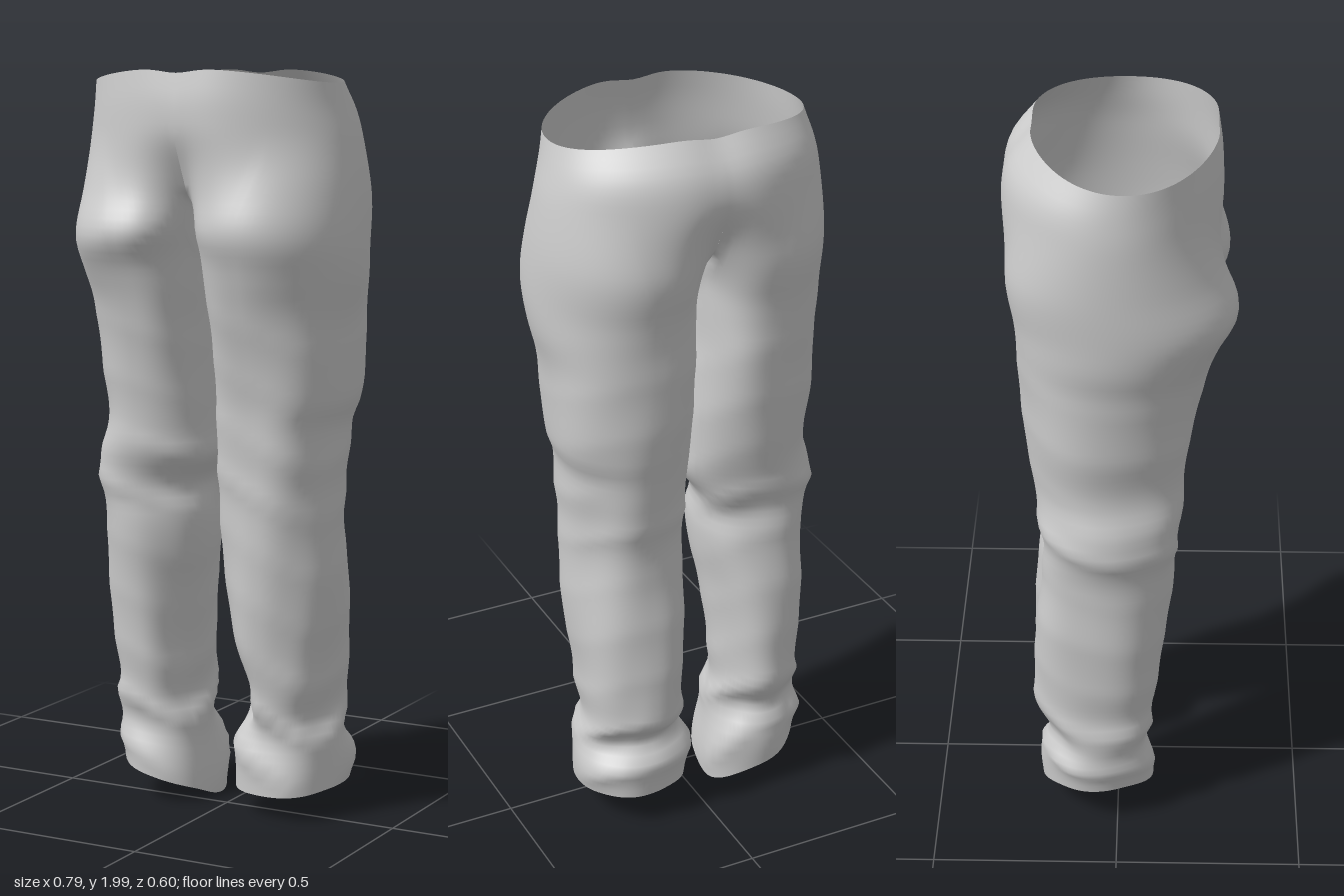
import * as THREE from 'three';
import { mergeVertices } from 'three/addons/utils/BufferGeometryUtils.js';

const WAIST = 1.995, CROTCH = 1.68, HEM = 0.08, CENTRE = -0.015;
const OUTER = 60, INNER = 20, AROUND = OUTER + INNER;
const TORSO_ROWS = 14, LEG_ROWS = 72;

// Per side, from hem to waist: y, inner x, outer x, back z, front z (x measured away from the middle)
const LEFT = [
  [0.08, 0.02, 0.32, -0.225, 0.10], [0.18, 0.005, 0.33, -0.23, 0.10], [0.25, 0.02, 0.30, -0.20, 0.095],
  [0.32, 0.03, 0.30, -0.24, 0.115], [0.45, 0.025, 0.305, -0.243, 0.125], [0.62, 0.01, 0.32, -0.23, 0.14],
  [0.82, 0.005, 0.32, -0.205, 0.155], [1.0, -0.002, 0.33, -0.222, 0.17], [1.08, -0.005, 0.335, -0.228, 0.175],
  [1.13, -0.007, 0.352, -0.24, 0.18], [1.38, -0.01, 0.37, -0.26, 0.23], [1.47, -0.009, 0.385, -0.26, 0.258],
  [1.55, -0.01, 0.39, -0.267, 0.285], [1.68, -0.015, 0.385, -0.302, 0.283], [1.82, -0.015, 0.365, -0.305, 0.272],
  [1.92, -0.015, 0.345, -0.285, 0.267], [2.0, -0.015, 0.328, -0.222, 0.255],
];
const RIGHT = [
  [0.08, 0.06, 0.335, -0.21, 0.10], [0.16, 0.06, 0.345, -0.22, 0.10], [0.25, 0.085, 0.35, -0.19, 0.09],
  [0.32, 0.09, 0.335, -0.22, 0.105], [0.45, 0.088, 0.342, -0.225, 0.12], [0.62, 0.075, 0.355, -0.22, 0.135],
  [0.8, 0.055, 0.362, -0.20, 0.15], [0.88, 0.065, 0.378, -0.20, 0.15], [0.97, 0.015, 0.385, -0.21, 0.17],
  [1.05, 0.011, 0.352, -0.222, 0.17], [1.2, 0.013, 0.363, -0.245, 0.19], [1.4, 0.024, 0.375, -0.26, 0.235],
  [1.47, 0.025, 0.39, -0.26, 0.262], [1.55, 0.024, 0.398, -0.267, 0.302], [1.68, 0.015, 0.397, -0.302, 0.283],
  [1.82, 0.015, 0.388, -0.305, 0.272], [1.92, 0.015, 0.375, -0.285, 0.267], [2.0, 0.015, 0.362, -0.222, 0.255],
];

const { smoothstep, lerp, degToRad } = THREE.MathUtils;
const spow = (v, p) => Math.sign(v) * Math.abs(v) ** p;
const bell = (v, mid, width) => Math.exp(-(((v - mid) / width) ** 2));
// Bump around a direction of the cross-section, in degrees (0 front, 90 outside)
const around = (a, deg, sharp) => Math.exp(sharp * (Math.cos(a - degToRad(deg)) - 1));

function sampler(rows) {
  const f = new THREE.CubicInterpolant(rows.map(r => r[0]), rows.flatMap(r => r.slice(1)), 4);
  return y => Array.from(f.evaluate(y));
}

// Cloth folds: slanted creases bunched at the ankle and knee, faint ones elsewhere
function folds(y, a, side) {
  const ph = side > 0 ? 0.4 : 2.1;
  const slant = y * 42 + 2.2 * Math.sin(a + ph) + Math.sin(2 * a - ph);
  const crease = 0.5 - Math.abs(Math.sin(slant * 0.5));
  const amount = 0.02 * bell(y, 0.24, 0.11) + (side > 0 ? 0.005 : 0.014) * bell(y, 0.92, 0.08) + 0.002;
  const drape = 0.004 * Math.sin(3 * a + 5 * y + ph) + 0.003 * Math.sin(5 * a - 7 * y);
  // Hollow at the inner front of the shin
  const hollow = side > 0
    ? 0.05 * around(a, -48, 5) * bell(y, 0.32, 0.1)
    : 0.025 * around(a, -48, 5) * bell(y, 0.45, 0.25);
  return (crease * amount + drape - hollow) * (1 - smoothstep(y, 1.3, 1.55));
}

// One point of a side: index i runs front centre, outside, back centre, then the inner leg
function point(side, sample, y, i) {
  const inner = i > OUTER;
  const a = degToRad(inner ? 245 + (i - OUTER) / INNER * 50 : -65 + i / OUTER * 310);
  // The crease under the hip climbs toward the inner front
  const climb = 0.06 * around(a, -65, 3) * bell(y, 1.52, 0.08) * (1 - smoothstep(y, 1.58, CROTCH));
  const [xIn, xOut, zB, zF] = sample(y - climb);
  const zc = (zB + zF) / 2, rz = (zF - zB) / 2;
  const c = CENTRE * side;

  // Leg cross-section: near round, squarer inside toward the crotch, fullest nearer the middle at the hips
  const high = smoothstep(y, 0.9, 1.6);
  const shin = side > 0 ? 0.91 : 0.96;
  const p = lerp(shin, Math.sin(a) < 0 ? 0.72 : 1, high);
  const xc = lerp(xIn, xOut, lerp(0.5, 0.43, high));
  const rx = Math.sin(a) < 0 ? xc - xIn : xOut - xc;
  const f = folds(y, a, side);
  let x = xc + (rx + f) * spow(Math.sin(a), p);
  let z = zc + (rz + f) * spow(Math.cos(a), p);
  let py = y;

  // Above the crotch, blend into half of the hip cross-section with a centre groove
  if (!inner) {
    const h = Math.PI * i / OUTER, t = 1 - smoothstep(y, 1.56, 1.85);
    const hx = c + (xOut - c) * Math.sin(h);
    const groove = (0.008 + 0.012 * bell(y, 1.74, 0.08)) * bell(hx, c, 0.08);
    const hz = zc + rz * spow(Math.cos(h), 0.97) - groove * Math.sign(Math.cos(h));
    x = lerp(hx, x, t);
    z = lerp(hz, z, t);
    // Wavy waistline
    const rim = smoothstep(y, 1.8, 2);
    py += rim * (0.005 - 0.037 * Math.sin(h) ** 2 - 0.012 * bell(hx, c, 0.06));
  }
  // The crotch seam is shared by both sides and dips between front and back
  const seam = y >= CROTCH - 1e-6;
  if (seam && (inner || i === 0 || i === OUTER)) x = c;
  if (inner) {
    const k = (i - OUTER) / INNER;
    py -= 0.07 * Math.sin(Math.PI * k) * smoothstep(y, 1.3, CROTCH);
  }
  // Hem: the right one rises outside and drops to a point at the inner back
  const hem = 1 - smoothstep(y, HEM, 0.26);
  if (side < 0) py += hem * (0.035 * Math.sin(a) - 0.043 * around(a, 255, 4));
  else py += hem * (0.008 * Math.sin(a) - 0.012 * Math.cos(a));
  return [side * x, py, z];
}

function createCloth() {
  const pos = [], index = [];
  for (const [side, rows] of [[1, LEFT], [-1, RIGHT]]) {
    const sample = sampler(rows);
    const grid = (y0, y1, steps, count, wrap) => {
      const base = pos.length / 3;
      for (let r = 0; r <= steps; r++) {
        const y = lerp(y0, y1, r / steps);
        for (let i = 0; i < count; i++) pos.push(...point(side, sample, y, i));
      }
      for (let r = 0; r < steps; r++) {
        for (let i = 0; i < (wrap ? count : count - 1); i++) {
          const a = base + r * count + i, b = base + r * count + (i + 1) % count;
          const c = a + count, d = b + count;
          if (side > 0) index.push(a, c, b, b, c, d);
          else index.push(a, b, c, b, d, c);
        }
      }
    };
    grid(WAIST, CROTCH, TORSO_ROWS, OUTER + 1, false); // half of the hips
    grid(CROTCH, HEM, LEG_ROWS, AROUND, true); // leg
  }
  const geo = new THREE.BufferGeometry();
  geo.setAttribute('position', new THREE.Float32BufferAttribute(pos, 3));
  geo.setIndex(index);
  const welded = mergeVertices(geo, 1e-4);
  welded.computeVertexNormals();
  return welded;
}

export function createModel() {
  const group = new THREE.Group();
  group.name = 'trousers';
  const cloth = new THREE.Mesh(
    createCloth(),
    new THREE.MeshStandardMaterial({ color: 0xcccccc, side: THREE.DoubleSide }),
  );
  cloth.name = 'trouserCloth';
  group.add(cloth);
  return group;
}
